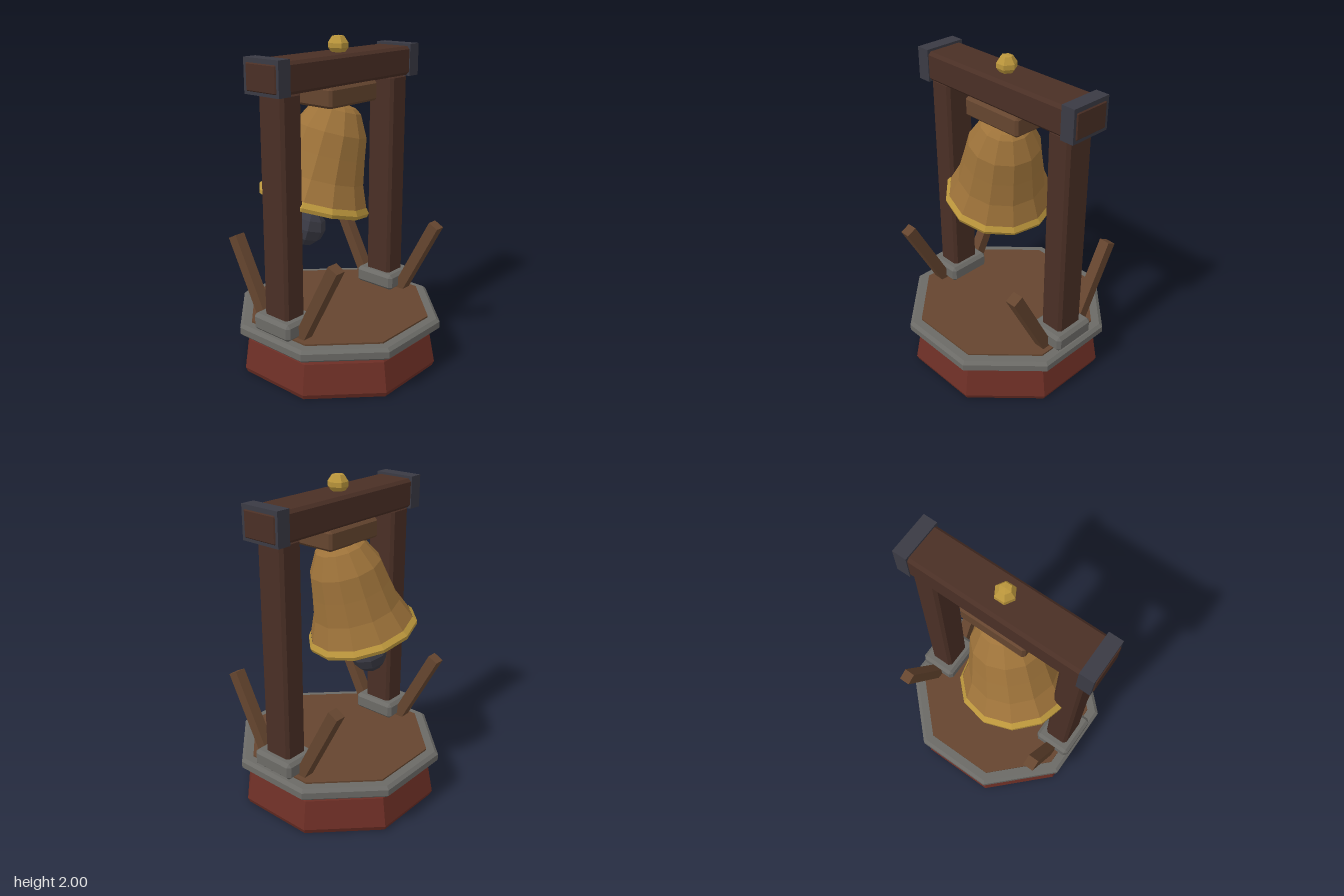
import * as THREE from 'three';
import { ConvexGeometry } from 'three/addons/geometries/ConvexGeometry.js';

function paint(name, color) {
  const m = new THREE.MeshStandardMaterial({ color, flatShading: true });
  m.name = name;
  return m;
}

// Box with every edge cut at 45 degrees; w, h, d are full sizes
function chamferBox(w, h, d, c) {
  const pts = [];
  for (const x of [-1, 1]) for (const y of [-1, 1]) for (const z of [-1, 1]) {
    for (let axis = 0; axis < 3; axis++) {
      const cut = [c, c, c];
      cut[axis] = 0;
      pts.push(new THREE.Vector3(x * (w / 2 - cut[0]), y * (h / 2 - cut[1]), z * (d / 2 - cut[2])));
    }
  }
  return new ConvexGeometry(pts);
}

// Faceted solid turned around y, profile listed bottom to top as [radius, y]
function turned(profile, sides) {
  return new THREE.LatheGeometry(profile.map(([r, y]) => new THREE.Vector2(r, y)), sides);
}

// Octagon with flat sides towards the axes, profile given by its half width
function octagon(profile) {
  const k = 1 / Math.cos(Math.PI / 8);
  return turned(profile.map(([r, y]) => [r * k, y]), 8).rotateY(Math.PI / 8);
}

export function createModel() {
  const model = new THREE.Group();
  model.name = 'bellStand';

  const darkWood = paint('dark wood', 0x4a2f25);
  const midWood = paint('mid wood', 0x65452f);
  const red = paint('red base', 0x6e2f26);
  const stone = paint('grey stone', 0x6b6a66);
  const bronze = paint('bronze', 0x9e733a);
  const gold = paint('gold', 0xbb963c);
  const iron = paint('dark iron', 0x3a3a44);

  function add(name, geometry, material, x = 0, y = 0, z = 0, parent = model) {
    const mesh = new THREE.Mesh(geometry, material);
    mesh.name = name;
    mesh.position.set(x, y, z);
    parent.add(mesh);
    return mesh;
  }

  // Octagonal base
  add('base', octagon([[0, 0], [0.57, 0], [0.582, 0.03], [0.55, 0.21], [0.52, 0.25], [0, 0.25]]), red);
  add('baseRim', octagon([[0, 0.25], [0.59, 0.25], [0.605, 0.265], [0.605, 0.305], [0.585, 0.322], [0, 0.322]]), stone);
  add('deck', octagon([[0.535, 0.3], [0.535, 0.332], [0, 0.332]]), midWood);

  // Posts, feet, braces and beam caps on both sides
  for (const s of [-1, 1]) {
    add('post', chamferBox(0.155, 1.43, 0.188, 0.018), darkWood, s * 0.473, 1.02, 0);
    add('postFoot', chamferBox(0.24, 0.105, 0.29, 0.02), stone, s * 0.475, 0.382, 0);
    add('beamCap', new THREE.BoxGeometry(0.086, 0.195, 0.262), iron, s * 0.563, 1.822, 0);
    for (const f of [-1, 1]) {
      const brace = add('brace', new THREE.BoxGeometry(0.068, 0.6, 0.07), midWood, s * 0.473, 0.557, f * 0.263);
      brace.rotation.x = f * 0.484;
    }
  }

  // Top beam, knob and the block that carries the bell
  add('beam', chamferBox(1.224, 0.175, 0.25, 0.018), darkWood, 0, 1.818, 0);
  add('knob', turned([[0.03, 1.89], [0.06, 1.93], [0.06, 1.957], [0.035, 1.995], [0, 2]], 6).rotateY(Math.PI / 6), gold);
  add('yoke', chamferBox(0.42, 0.118, 0.26, 0.015), midWood, 0, 1.673, 0);

  // Bell, caught in mid swing
  const bell = new THREE.Group();
  bell.name = 'bell';
  bell.position.set(0, 1.62, 0);
  bell.rotation.set(0.13, 0, -0.23);
  model.add(bell);
  add('bellBody', turned([[0.322, -0.57], [0.268, -0.44], [0.24, -0.3], [0.217, -0.166],
    [0.15, -0.04], [0.12, -0.018], [0.05, -0.005], [0.05, 0.04], [0, 0.04]], 12), bronze, 0, 0, 0, bell);
  add('bellRim', turned([[0.3, -0.618], [0.338, -0.618], [0.344, -0.595], [0.322, -0.565]], 12), gold, 0, 0, 0, bell);
  add('bellMouth', turned([[0, -0.614], [0.315, -0.614]], 12), darkWood, 0, 0, 0, bell);

  // Clapper
  add('clapperRod', new THREE.CylinderGeometry(0.02, 0.02, 0.2, 6), iron, 0, -0.62, 0, bell);
  add('clapperBall', new THREE.SphereGeometry(0.117, 8, 6), iron, 0, -0.775, 0, bell);

  return model;
}
